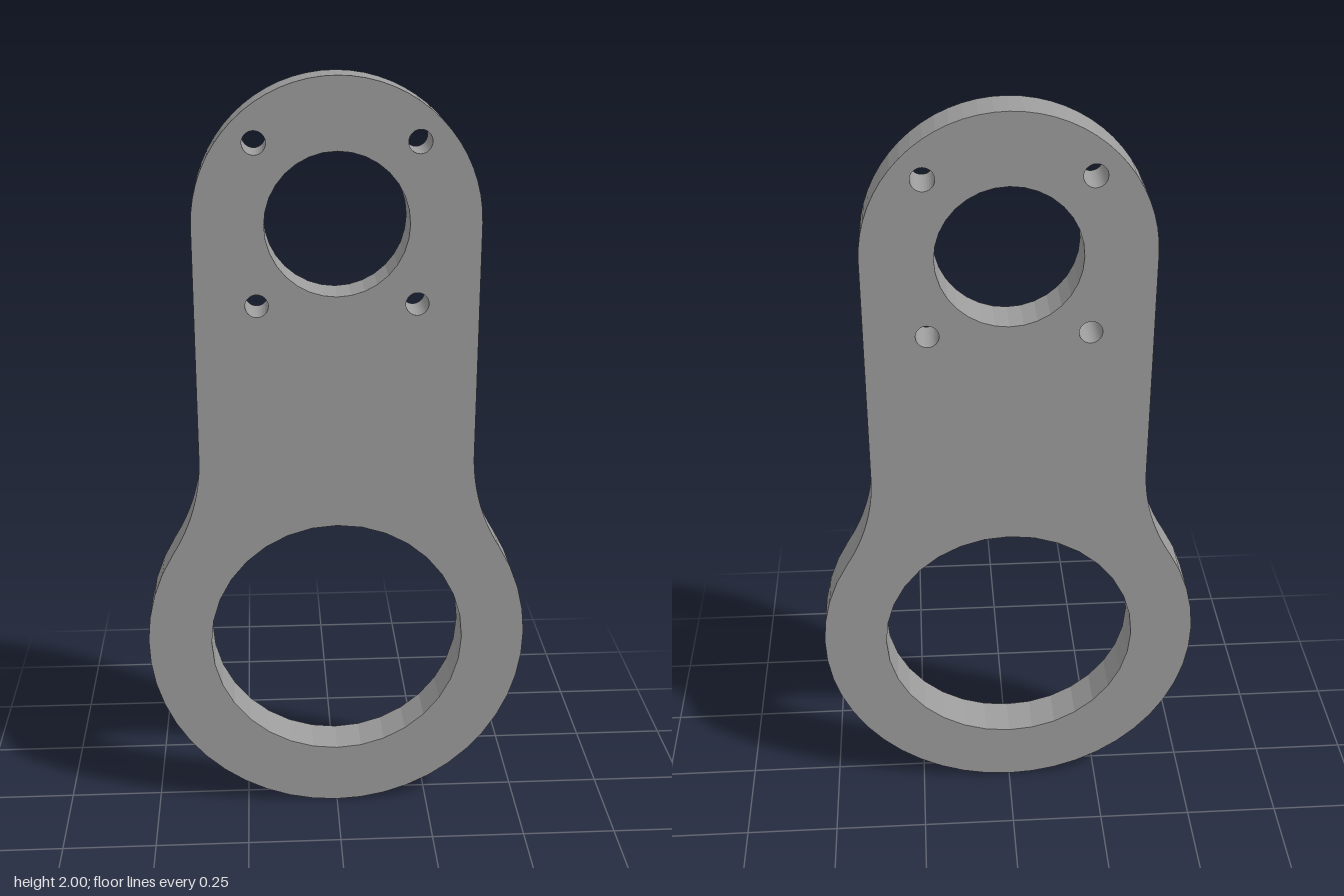
import * as THREE from 'three';

const THICKNESS = 0.113;
const RING = { y: 0.508, r: 0.508, hole: 0.339 };  // large lower ring
const HEAD = { y: 1.644, r: 0.356, hole: 0.179 };  // rounded upper end
const FILLET = 0.5;                                // neck-to-ring blend radius
const BOLT = { offset: 0.2, r: 0.029 };

function circle(x, y, r) {
  return new THREE.Path().absarc(x, y, r, 0, Math.PI * 2, true);
}

export function createModel() {
  const group = new THREE.Group();
  group.name = 'mountingPlate';

  // Fillet centre: tangent to the straight neck side and to the ring
  const fx = HEAD.r + FILLET;
  const dy = Math.sqrt((RING.r + FILLET) ** 2 - fx ** 2);
  const fy = RING.y + dy;
  const a = Math.atan2(dy, fx);

  // Outline, counter-clockwise from the right of the head
  const outline = new THREE.Shape();
  outline.absarc(0, HEAD.y, HEAD.r, 0, Math.PI, false);
  outline.absarc(-fx, fy, FILLET, 0, -a, true);
  outline.absarc(0, RING.y, RING.r, Math.PI - a, Math.PI * 2 + a, false);
  outline.absarc(fx, fy, FILLET, Math.PI + a, Math.PI, true);
  outline.closePath();

  // Two bores and four bolt holes
  outline.holes.push(circle(0, RING.y, RING.hole), circle(0, HEAD.y, HEAD.hole));
  for (const sx of [-1, 1]) {
    for (const sy of [-1, 1]) {
      outline.holes.push(circle(sx * BOLT.offset, HEAD.y + sy * BOLT.offset, BOLT.r));
    }
  }

  const geometry = new THREE.ExtrudeGeometry(outline, {
    depth: THICKNESS, bevelEnabled: false, curveSegments: 16,
  });
  geometry.translate(0, 0, -THICKNESS / 2);

  const plate = new THREE.Mesh(
    geometry,
    new THREE.MeshStandardMaterial({ color: 0x9c9c9c, flatShading: true }),
  );
  plate.name = 'plate';
  group.add(plate);
  return group;
}
